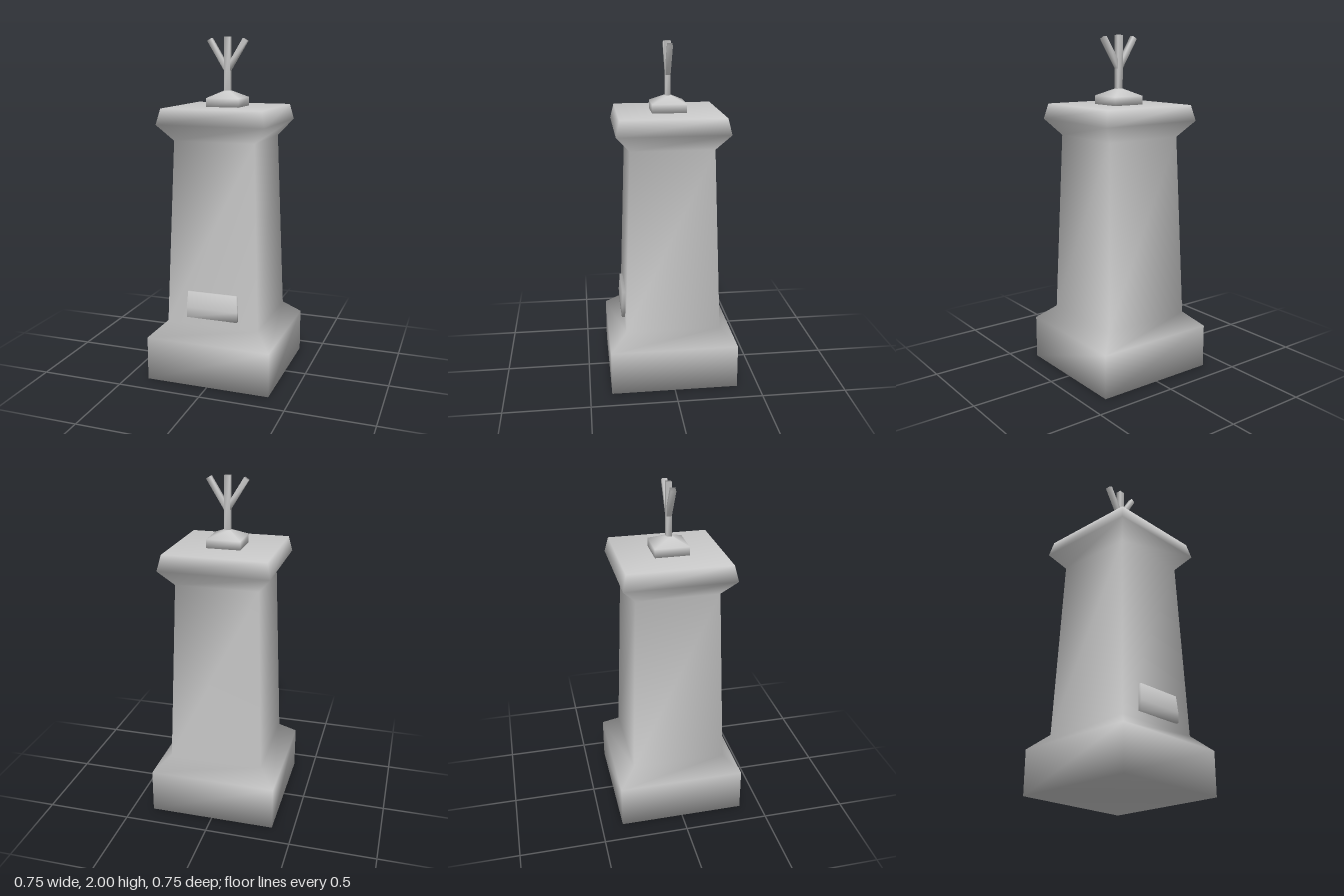
import * as THREE from 'three';

const material = new THREE.MeshStandardMaterial({ color: 0xcccccc });

// Square loft: rings of [y, halfX, halfZ, centreZ], corners shared so the shading is soft
function squareLoft(name, rings) {
  const corners = [[1, 1], [1, -1], [-1, -1], [-1, 1]];
  const pos = [], index = [];
  for (const [y, hx, hz = hx, cz = 0] of rings)
    for (const [sx, sz] of corners) pos.push(sx * hx, y, cz + sz * hz);
  for (let r = 0; r < rings.length - 1; r++)
    for (let i = 0; i < 4; i++) {
      const a = r * 4 + i, b = r * 4 + (i + 1) % 4;
      index.push(a, b, b + 4, a, b + 4, a + 4);
    }
  const t = (rings.length - 1) * 4;
  index.push(0, 2, 1, 0, 3, 2, t, t + 1, t + 2, t, t + 2, t + 3);
  const geometry = new THREE.BufferGeometry();
  geometry.setAttribute('position', new THREE.Float32BufferAttribute(pos, 3));
  geometry.setIndex(index);
  geometry.computeVertexNormals();
  const mesh = new THREE.Mesh(geometry, material);
  mesh.name = name;
  return mesh;
}

export function createModel() {
  const group = new THREE.Group();
  group.name = 'stonePost';

  // Plinth, tapering shaft and flared head in one piece
  group.add(squareLoft('post', [
    [0, 0.373], [0.26, 0.373], [0.345, 0.278],
    [1.42, 0.24], [1.515, 0.318], [1.605, 0.297],
  ]));

  // Small pyramid cap
  group.add(squareLoft('cap', [[1.6, 0.099], [1.655, 0.099], [1.697, 0.014]]));

  // Plate on the front, leaning with the shaft
  const plate = squareLoft('plate', [
    [0.39, 0.155, 0.023, 0.273], [0.45, 0.155, 0.023, 0.273], [0.547, 0.148, 0.02, 0.268],
  ]);
  plate.position.x = 0.004;
  group.add(plate);

  // Three-pronged finial
  group.add(squareLoft('finialStem', [[1.68, 0.018, 0.015], [2, 0.018, 0.016]]));
  for (const side of [1, -1]) {
    const prong = squareLoft(side > 0 ? 'leftProng' : 'rightProng', [[0, 0.015], [0.206, 0.015]]);
    prong.position.set(0, 1.81, 0);
    prong.rotation.z = -side * Math.atan2(0.108, 0.175);
    group.add(prong);
  }
  return group;
}
